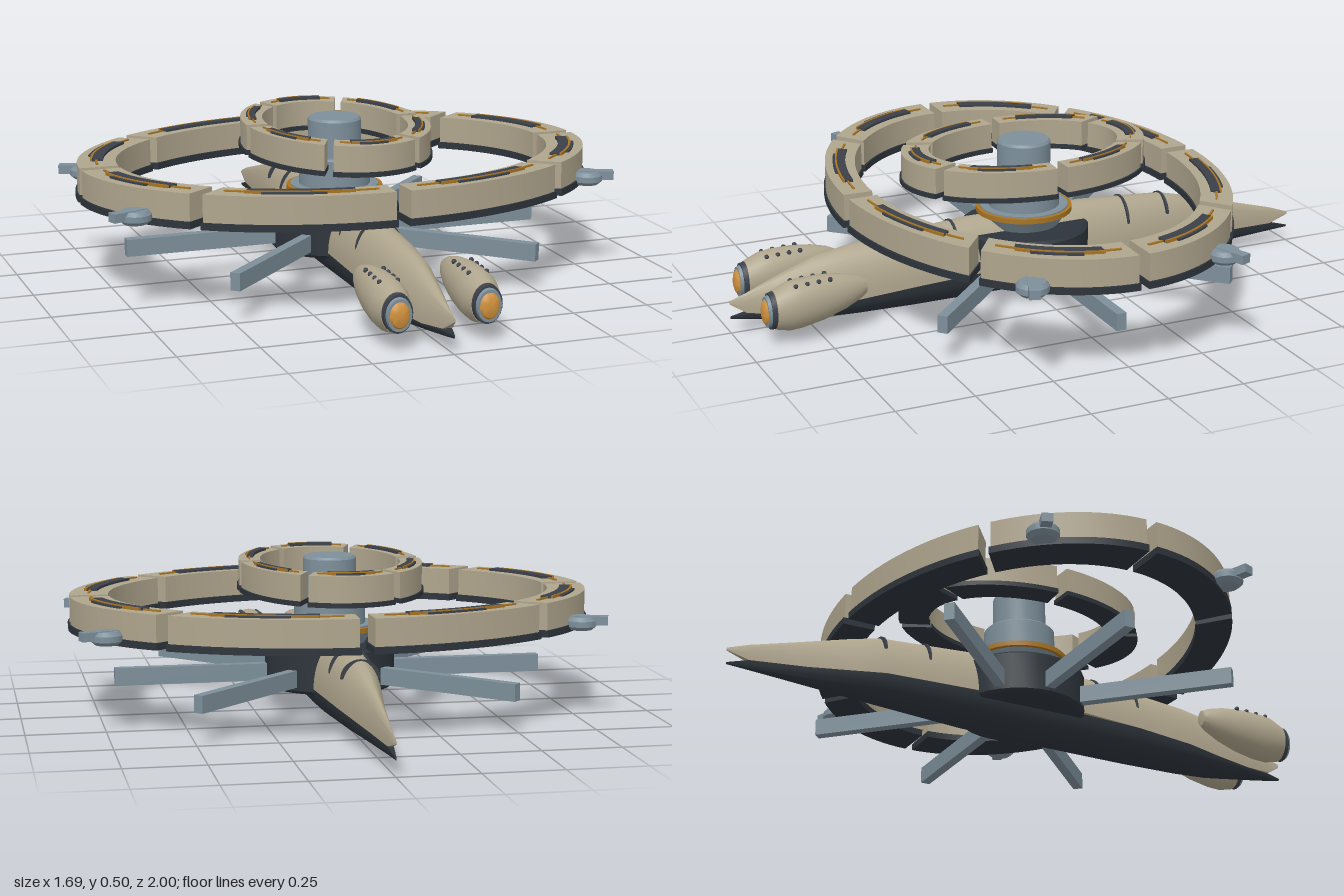
import * as THREE from 'three';
import { toCreasedNormals } from 'three/addons/utils/BufferGeometryUtils.js';

const material = (name, color, side = THREE.FrontSide) => {
  const m = new THREE.MeshStandardMaterial({ color, side });
  m.name = name;
  return m;
};
const TAN = material('sand plating', 0xafa58d);
const DARK = material('dark underside', 0x2d343b);
const STEEL = material('blue grey steel', 0x7d8f9a);
const GOLD = material('gold trim', 0xa87422);
const GLOW = material('amber lamp', 0xd0913c);
const PANEL = material('charcoal panel', 0x3b4049);

function add(parent, name, geometry, mat, x = 0, y = 0, z = 0) {
  const mesh = new THREE.Mesh(geometry, mat);
  mesh.name = name;
  mesh.position.set(x, y, z);
  parent.add(mesh);
  return mesh;
}

// Slab following part of an elliptical ring; i = inner [rx, rz], o = outer [rx, rz]
function arcSlab(i, o, t0, t1, height, steps = 16) {
  const pts = [];
  const put = (r, t) => pts.push(new THREE.Vector2(r[0] * Math.cos(t), r[1] * Math.sin(t)));
  for (let k = 0; k <= steps; k++) put(o, t0 + (t1 - t0) * k / steps);
  for (let k = steps; k >= 0; k--) put(i, t0 + (t1 - t0) * k / steps);
  const g = new THREE.ExtrudeGeometry(new THREE.Shape(pts), { depth: height, bevelEnabled: false });
  g.rotateX(-Math.PI / 2);
  return toCreasedNormals(g, 0.5);
}

// Segmented ring with dark floor, sand walls and roof trim
function habitatRing(name, i, o, count, gap, y, floor, top) {
  const ring = new THREE.Group();
  ring.name = name;
  const mix = f => [i[0] + (o[0] - i[0]) * f, i[1] + (o[1] - i[1]) * f];
  const grow = (r, d) => [r[0] + d, r[1] + d];
  const step = Math.PI * 2 / count;
  for (let k = 0; k < count; k++) {
    const a = k * step + gap, b = (k + 1) * step - gap, at = f => a + (b - a) * f;
    const seg = new THREE.Group();
    seg.name = 'ringSegment';
    ring.add(seg);
    add(seg, 'segmentFloor', arcSlab(grow(i, -0.006), grow(o, 0.006), a - 0.006, b + 0.006, floor), DARK, 0, y);
    add(seg, 'segmentHull', arcSlab(i, o, a, b, top - y - floor), TAN, 0, y + floor);
    add(seg, 'roofPanel', arcSlab(mix(0.32), mix(0.6), at(0.2), at(0.8), 0.008), PANEL, 0, top);
    add(seg, 'roofPanelOuter', arcSlab(mix(0.6), mix(0.74), at(0.3), at(0.65), 0.006), PANEL, 0, top);
    add(seg, 'roofStripe', arcSlab(mix(0.47), mix(0.53), at(0.07), at(0.93), 0.005), GOLD, 0, top);
    add(seg, 'roofEdgeStripe', arcSlab(mix(0.6), mix(0.66), at(0.2), at(0.8), 0.009), GOLD, 0, top);
  }
  return ring;
}

// Half-elliptical shell lofted along z; each section is [z, halfWidth, edgeY, crownY]
function halfShell(sections, start) {
  const n = 18, pos = [], idx = [];
  for (const [z, w, edge, crown] of sections)
    for (let j = 0; j <= n; j++) {
      const t = start + Math.PI * j / n;
      pos.push(w * Math.cos(t), edge + Math.abs(crown - edge) * Math.sin(t), z);
    }
  const m = n + 1, last = (sections.length - 1) * m;
  for (let s = 0; s < sections.length - 1; s++)
    for (let j = 0; j < m; j++) {
      const a = s * m + j, b = s * m + (j + 1) % m;
      idx.push(a, b, a + m, b, b + m, a + m);
    }
  for (let j = 1; j < n; j++) {
    idx.push(0, j + 1, j);
    idx.push(last, last + j, last + j + 1);
  }
  const g = new THREE.BufferGeometry();
  g.setAttribute('position', new THREE.Float32BufferAttribute(pos, 3));
  g.setIndex(idx);
  return toCreasedNormals(g, 0.6);
}

function lathe(points, segments = 32) {
  return toCreasedNormals(new THREE.LatheGeometry(points.map(p => new THREE.Vector2(...p)), segments), 0.5);
}

// Engine pod around the z axis, flattened sideways, its tail lifted
function pod() {
  const g = new THREE.Group();
  g.name = 'enginePod';
  const shape = geo => {
    geo.rotateX(Math.PI / 2);
    geo.scale(0.78, 1, 1);
    const p = geo.attributes.position;
    for (let k = 0; k < p.count; k++) p.setY(k, p.getY(k) - p.getZ(k) * 0.11);
    geo.computeVertexNormals();
    return toCreasedNormals(geo, 0.6);
  };
  const turned = pts => shape(new THREE.LatheGeometry(pts.map(p => new THREE.Vector2(...p)), 24));
  add(g, 'podBody', turned([[0, -0.32], [0.026, -0.315], [0.04, -0.29], [0.058, -0.24],
    [0.073, -0.17], [0.079, -0.1], [0.077, -0.06], [0.062, -0.015], [0, -0.015]]), TAN);
  add(g, 'podDarkBand', turned([[0, -0.02], [0.061, -0.02], [0.058, 0], [0, 0]]), PANEL);
  add(g, 'podCollar', turned([[0, -0.001], [0.052, -0.001], [0.049, 0.01], [0, 0.01]]), STEEL);
  add(g, 'podLamp', turned([[0.041, 0.009], [0.034, 0.017], [0.018, 0.022], [0, 0.023]]), GLOW);
  for (const s of [-1, 1])
    for (let k = 0; k < 4; k++)
      add(g, 'podVent', new THREE.SphereGeometry(0.008, 8, 6), PANEL, s * 0.028, 0.077 + k * 0.002, -0.08 - k * 0.037);
  return g;
}

export function createModel() {
  const model = new THREE.Group();
  model.name = 'ringStation';

  // Spindle hull
  add(model, 'upperHull', halfShell([
    [-1, 0.002, 0.096, 0.105], [-0.93, 0.009, 0.075, 0.13], [-0.75, 0.03, 0.083, 0.18], [-0.6, 0.054, 0.093, 0.222],
    [-0.5, 0.07, 0.1, 0.246], [-0.2, 0.088, 0.1, 0.265], [0.2, 0.09, 0.1, 0.265], [0.4, 0.088, 0.09, 0.25],
    [0.6, 0.08, 0.075, 0.232], [0.72, 0.067, 0.06, 0.212], [0.85, 0.041, 0.055, 0.165],
    [0.95, 0.015, 0.065, 0.125], [1, 0.002, 0.096, 0.108]], 0), TAN);
  add(model, 'lowerHull', halfShell([
    [-1, 0.002, 0.056, 0.05], [-0.93, 0.009, 0.075, 0.046], [-0.75, 0.03, 0.083, 0.036], [-0.5, 0.069, 0.1, 0.024],
    [-0.2, 0.087, 0.1, 0.008], [0, 0.09, 0.1, 0.001], [0.4, 0.087, 0.09, 0.001], [0.6, 0.079, 0.075, 0.005],
    [0.72, 0.066, 0.06, 0.012], [0.85, 0.04, 0.055, 0.028], [0.95, 0.015, 0.06, 0.04], [1, 0.002, 0.056, 0.048]],
    Math.PI), DARK);

  // Seam bands over the hull: z, halfWidth, lower edge, crown
  for (const [z, w, edge, crown] of [[0.4, 0.09, 0.16, 0.253], [0.26, 0.092, 0.16, 0.264],
    [-0.35, 0.081, 0.18, 0.259], [-0.5, 0.072, 0.19, 0.249]])
    add(model, 'hullSeam', halfShell([[z - 0.004, w * 0.86, edge, crown], [z + 0.004, w * 0.86, edge, crown]], 0), PANEL);

  // Central hub and column
  add(model, 'hubDrum', lathe([[0, 0.08], [0.2, 0.08], [0.21, 0.09], [0.21, 0.212], [0.2, 0.22], [0, 0.22]]), DARK);
  add(model, 'hubFunnel', lathe([[0, 0.215], [0.11, 0.215], [0.145, 0.266], [0, 0.266]]), STEEL);
  add(model, 'hubCollar', lathe([[0, 0.264], [0.156, 0.264], [0.156, 0.28], [0, 0.28]]), GOLD);
  add(model, 'hubDeck', lathe([[0, 0.275], [0.143, 0.275], [0.143, 0.284], [0, 0.284]]), STEEL);
  add(model, 'lowerColumn', lathe([[0, 0.28], [0.115, 0.28], [0.115, 0.375], [0.11, 0.38], [0, 0.38]]), STEEL);
  add(model, 'upperColumn', lathe([[0, 0.375], [0.086, 0.375], [0.086, 0.495], [0.08, 0.503], [0, 0.503]]), STEEL);

  // Spokes
  for (const deg of [0, 45, 135, 180, 225, 315]) {
    const pivot = new THREE.Group();
    pivot.name = 'spoke';
    pivot.rotation.y = THREE.MathUtils.degToRad(deg);
    add(pivot, 'spokeBeam', new THREE.BoxGeometry(0.56, 0.055, 0.032), STEEL, 0.42, 0.128);
    model.add(pivot);
  }

  // Rings
  model.add(habitatRing('outerRing', [0.715, 0.515], [0.839, 0.609], 8, 0.028, 0.283, 0.022, 0.391));
  model.add(habitatRing('innerRing', [0.222, 0.317], [0.291, 0.408], 6, 0.045, 0.392, 0.015, 0.489));

  // Docking pads on the outer ring
  for (const sx of [-1, 1])
    for (const sz of [-1, 1]) {
      const dock = new THREE.Group();
      dock.name = 'dockingPad';
      dock.position.set(sx * 0.75, 0, sz * 0.318);
      dock.rotation.y = -Math.atan2(sz * 0.36, sx);
      add(dock, 'padDisc', lathe([[0, 0.288], [0.036, 0.288], [0.05, 0.3], [0.05, 0.318], [0.04, 0.33], [0, 0.33]], 20), STEEL);
      add(dock, 'padArm', new THREE.BoxGeometry(0.13, 0.028, 0.034), STEEL, 0.02, 0.318);
      model.add(dock);
    }

  // Engine pods beside the nose
  for (const sx of [-1, 1]) {
    const p = pod();
    p.position.set(sx * 0.14, 0.112, 0.92);
    model.add(p);
  }
  return model;
}
